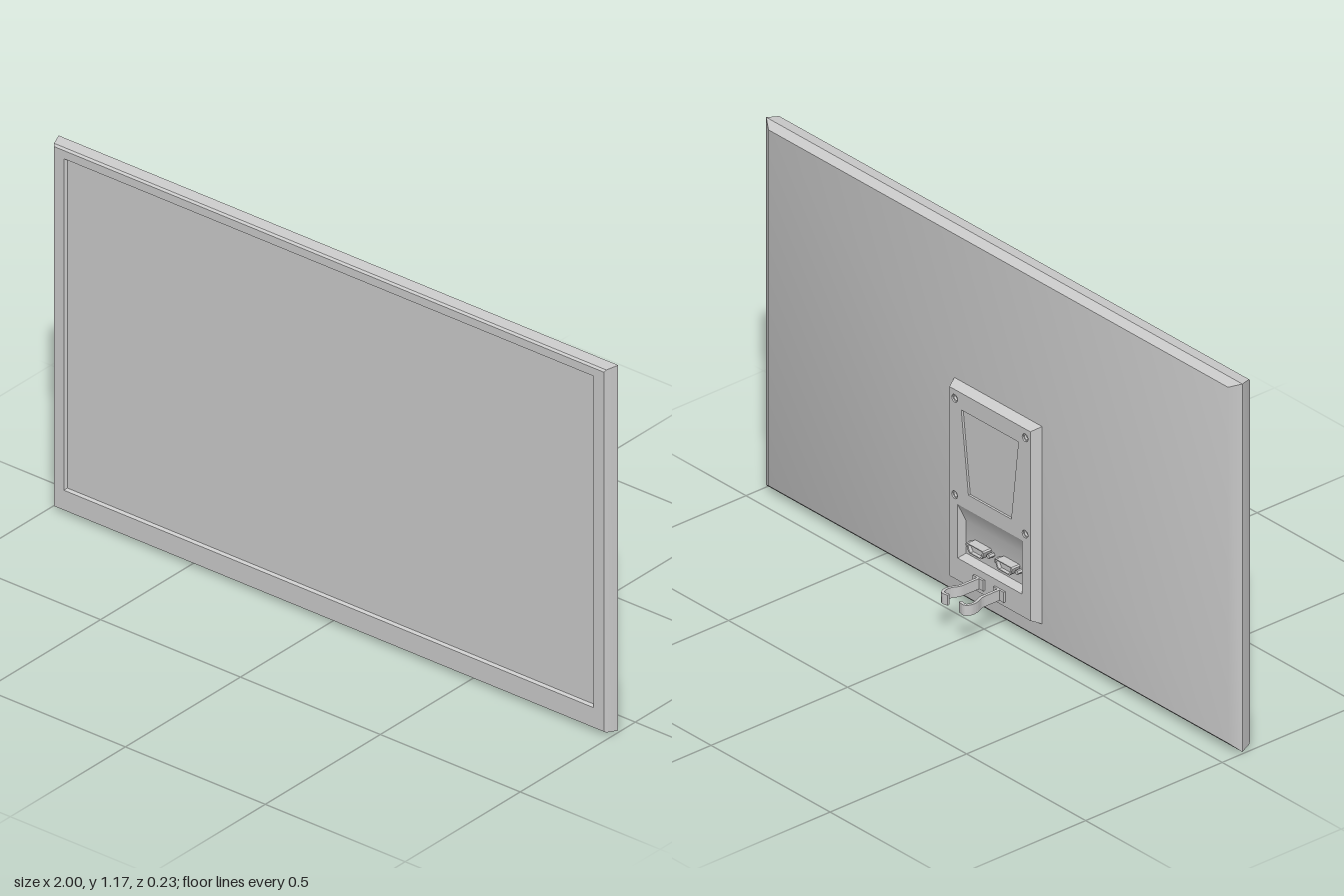
import * as THREE from 'three';
import { toCreasedNormals } from 'three/addons/utils/BufferGeometryUtils.js';

const grey = new THREE.MeshStandardMaterial({ color: 0xcccccc });

// Corner loops, counter-clockwise seen from +z
const rect = (x, y0, y1) => [[-x, y0], [x, y0], [x, y1], [-x, y1]];
const circle = (cx, cy, r, n = 16) => Array.from({ length: n }, (_, i) => {
  const a = (i / n) * Math.PI * 2;
  return [cx + r * Math.cos(a), cy + r * Math.sin(a)];
});

// Skin a series of { z, pts } loops, with optional flat caps
function loft(loops, capStart = false, capEnd = false) {
  const pos = [];
  const tri = (...corners) => corners.forEach(([p, z]) => pos.push(p[0], p[1], z));
  for (let k = 0; k < loops.length - 1; k++) {
    const { z: z0, pts: A } = loops[k], { z: z1, pts: B } = loops[k + 1];
    A.forEach((a, i) => {
      const j = (i + 1) % A.length;
      tri([a, z0], [A[j], z0], [B[j], z1]);
      tri([a, z0], [B[j], z1], [B[i], z1]);
    });
  }
  const cap = ({ z, pts }, flip) => {
    for (let i = 1; i < pts.length - 1; i++) {
      const [b, c] = flip ? [pts[i + 1], pts[i]] : [pts[i], pts[i + 1]];
      tri([pts[0], z], [b, z], [c, z]);
    }
  };
  if (capStart) cap(loops[0], true);
  if (capEnd) cap(loops[loops.length - 1], false);
  const g = new THREE.BufferGeometry();
  g.setAttribute('position', new THREE.Float32BufferAttribute(pos, 3));
  return toCreasedNormals(g, 0.6);
}

export function createModel() {
  const model = new THREE.Group();
  model.name = 'flatScreen';
  const add = (name, geometry, parent = model) => {
    const mesh = new THREE.Mesh(geometry, grey);
    mesh.name = name;
    parent.add(mesh);
    return mesh;
  };

  // Housing: bevelled back, tapered sides, front bezel
  add('housing', loft([
    { z: 0.052, pts: rect(0.965, 0.027, 1.153) },
    { z: 0.074, pts: rect(1, 0.006, 1.17) },
    { z: 0.11, pts: rect(0.987, 0.011, 1.166) },
    { z: 0.116, pts: rect(0.983, 0.015, 1.16) },
    { z: 0.116, pts: rect(0.947, 0.078, 1.134) },
    { z: 0.107, pts: rect(0.942, 0.083, 1.129) },
  ], true));

  // Screen panel set into the bezel
  const screen = add('screen', new THREE.PlaneGeometry(1.884, 1.046));
  screen.position.set(0, 0.606, 0.107);

  // Rear mounting plate: sloped sides and a pierced face
  const plate = new THREE.Group();
  plate.name = 'rearPlate';
  model.add(plate);
  const face = 0.021;
  const plateRim = rect(0.17, 0.09, 0.688);
  const panelRim = [[-0.09, 0.378], [0.09, 0.378], [0.12, 0.635], [-0.12, 0.635]];
  const bayRim = rect(0.135, 0.16, 0.33);
  const screws = [[-0.148, 0.355], [0.148, 0.355], [-0.148, 0.66], [0.148, 0.66]];

  add('plateSides', loft([
    { z: face, pts: plateRim },
    { z: 0.054, pts: rect(0.185, 0.074, 0.7) },
  ], false), plate);

  const toPath = (pts, Type) => new Type(pts.map(([x, y]) => new THREE.Vector2(x, y)));
  const faceShape = toPath(plateRim, THREE.Shape);
  faceShape.holes = [panelRim, bayRim, ...screws.map(([x, y]) => circle(x, y, 0.012))]
    .map((pts) => toPath(pts, THREE.Path));
  const plateFace = add('plateFace', new THREE.ShapeGeometry(faceShape), plate);
  plateFace.rotation.y = Math.PI;
  plateFace.position.z = face;

  // Shallow tapered panel and the connector bay with its sloped ceiling
  add('taperedRecess', loft([
    { z: face + 0.007, pts: panelRim },
    { z: face, pts: panelRim },
  ], true), plate);
  add('connectorBay', loft([
    { z: 0.048, pts: rect(0.13, 0.168, 0.27) },
    { z: face, pts: bayRim },
  ], true), plate);

  // Mounting screw sockets
  for (const [x, y] of screws) {
    add('screwSocket', loft([
      { z: face + 0.012, pts: circle(x, y, 0.008) },
      { z: face + 0.005, pts: circle(x, y, 0.008) },
      { z: face + 0.005, pts: circle(x, y, 0.012) },
      { z: face, pts: circle(x, y, 0.012) },
    ], true), plate);
  }

  // Two D-shaped sockets with a fixing post at each end
  for (const cx of [-0.06, 0.06]) {
    const shell = (s) => [[-0.024, -0.014], [0.024, -0.014], [0.031, -0.006], [0.036, 0.01],
      [0.032, 0.014], [-0.032, 0.014], [-0.036, 0.01], [-0.031, -0.006]]
      .map(([x, y]) => [cx + x * s, 0.212 + y * s]);
    add('videoSocket', loft([
      { z: 0.03, pts: shell(0.82) },
      { z: 0.019, pts: shell(0.82) },
      { z: 0.019, pts: shell(1) },
      { z: 0.048, pts: shell(1) },
    ], true), plate);
    for (const s of [-1, 1]) {
      add('socketPost', loft([
        { z: 0.028, pts: circle(cx + s * 0.044, 0.212, 0.007, 6) },
        { z: 0.048, pts: circle(cx + s * 0.044, 0.212, 0.007, 6) },
      ], true), plate);
    }
  }

  // Mirrored cable hooks: curved ribbons with a flat foot
  const spine = new THREE.CatmullRomCurve3([
    [0.043, 0.022], [0.043, -0.02], [0.044, -0.05], [0.054, -0.075],
    [0.055, -0.098], [0.045, -0.111], [0.025, -0.108],
  ].map(([x, z]) => new THREE.Vector3(x, z, 0))).getPoints(30);
  for (const s of [-1, 1]) {
    const side = (d) => spine.map((p, i) => {
      const t = spine[Math.min(i + 1, 30)].clone().sub(spine[Math.max(i - 1, 0)]).normalize();
      return new THREE.Vector2(s * (p.x - t.y * d), p.y + t.x * d);
    });
    const ribbon = new THREE.Shape([...side(0.0045), ...side(-0.0045).reverse()]);
    const g = new THREE.ExtrudeGeometry(ribbon, { depth: 0.033, bevelEnabled: false });
    g.rotateX(Math.PI / 2).translate(0, 0.138, 0);
    add(s > 0 ? 'leftCableHook' : 'rightCableHook', toCreasedNormals(g, 0.6));
    const foot = add('hookFoot', new THREE.BoxGeometry(0.044, 0.033, 0.008));
    foot.position.set(s * 0.043, 0.1215, 0.019);
  }

  // Control buttons under the lower edge
  for (let i = 0; i < 5; i++) {
    const button = add('controlButton', new THREE.BoxGeometry(0.03, 0.014, 0.012));
    button.position.set(0.61 + i * 0.042, 0.007, 0.088);
  }
  return model;
}
